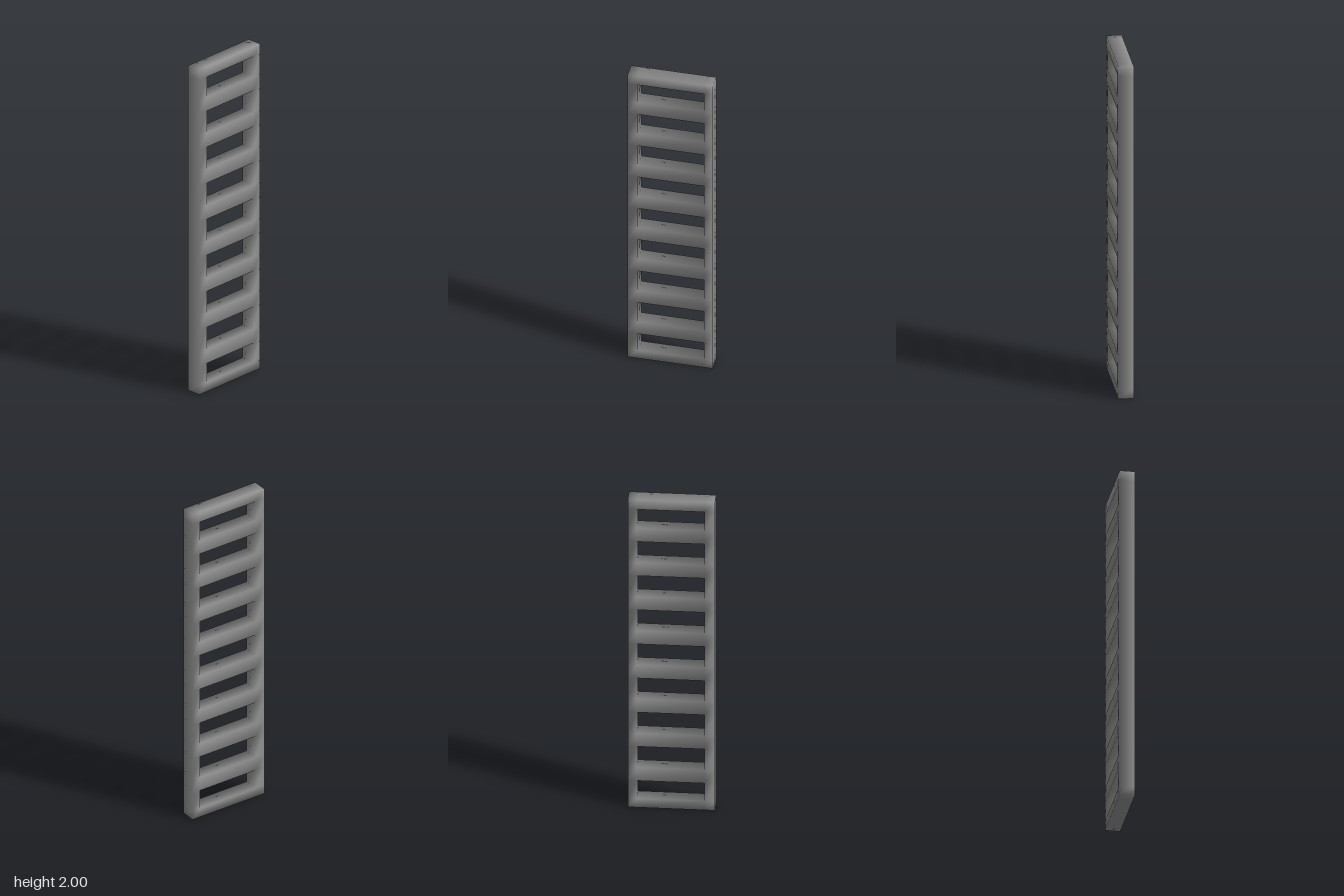
import * as THREE from 'three';

const HALF_X = 0.0435;
const RUNGS = 8;

// Welds quads (corners counter-clockwise from outside) into one surface;
// each corner normal is the average of the quads that meet there
function weldQuads(quads) {
  const lookup = new Map(), pos = [], sums = [], index = [];
  for (const corners of quads) {
    const [a, b, , d] = corners.map((c) => new THREE.Vector3(...c));
    const normal = b.sub(a).cross(d.sub(a)).normalize();
    const [p, q, r, s] = corners.map((c) => {
      const key = c.join();
      if (!lookup.has(key)) {
        lookup.set(key, sums.length);
        pos.push(...c);
        sums.push(new THREE.Vector3());
      }
      const id = lookup.get(key);
      sums[id].add(normal);
      return id;
    });
    index.push(p, q, r, p, r, s);
  }
  const normals = sums.flatMap((n) => n.normalize().toArray());
  const g = new THREE.BufferGeometry();
  g.setAttribute('position', new THREE.Float32BufferAttribute(pos, 3));
  g.setAttribute('normal', new THREE.Float32BufferAttribute(normals, 3));
  g.setIndex(index);
  return g;
}

export function createModel() {
  const group = new THREE.Group();
  group.name = 'ladder';

  // Grid lines: rail edges along z, bar and rung edges along y
  const zs = [-0.245, -0.195, 0.186, 0.245];
  const ys = [0, 0.057];
  for (let i = 0; i < RUNGS; i++) {
    const c = 0.217 + i * 0.222;
    ys.push(c - 0.043, c + 0.043);
  }
  ys.push(1.937, 2);

  // Outer columns are rails; every second row is a rung or end bar
  const nz = zs.length - 1, ny = ys.length - 1;
  const solid = (i, j) =>
    i >= 0 && j >= 0 && i < nz && j < ny && (i !== 1 || j % 2 === 0);

  const quads = [];
  const h = HALF_X;
  for (let i = 0; i < nz; i++) {
    for (let j = 0; j < ny; j++) {
      if (!solid(i, j)) continue;
      const z0 = zs[i], z1 = zs[i + 1], y0 = ys[j], y1 = ys[j + 1];
      // Broad faces
      quads.push([[h, y0, z1], [h, y0, z0], [h, y1, z0], [h, y1, z1]]);
      quads.push([[-h, y0, z0], [-h, y0, z1], [-h, y1, z1], [-h, y1, z0]]);
      // Edges bordering an opening or the outside
      if (!solid(i + 1, j)) quads.push([[-h, y0, z1], [h, y0, z1], [h, y1, z1], [-h, y1, z1]]);
      if (!solid(i - 1, j)) quads.push([[h, y0, z0], [-h, y0, z0], [-h, y1, z0], [h, y1, z0]]);
      if (!solid(i, j + 1)) quads.push([[-h, y1, z1], [h, y1, z1], [h, y1, z0], [-h, y1, z0]]);
      if (!solid(i, j - 1)) quads.push([[-h, y0, z0], [h, y0, z0], [h, y0, z1], [-h, y0, z1]]);
    }
  }

  // Rails and rungs share one welded, softly shaded surface
  const frame = new THREE.Mesh(
    weldQuads(quads),
    new THREE.MeshStandardMaterial({ color: 0x909090 })
  );
  frame.name = 'railsAndRungs';
  group.add(frame);
  return group;
}
